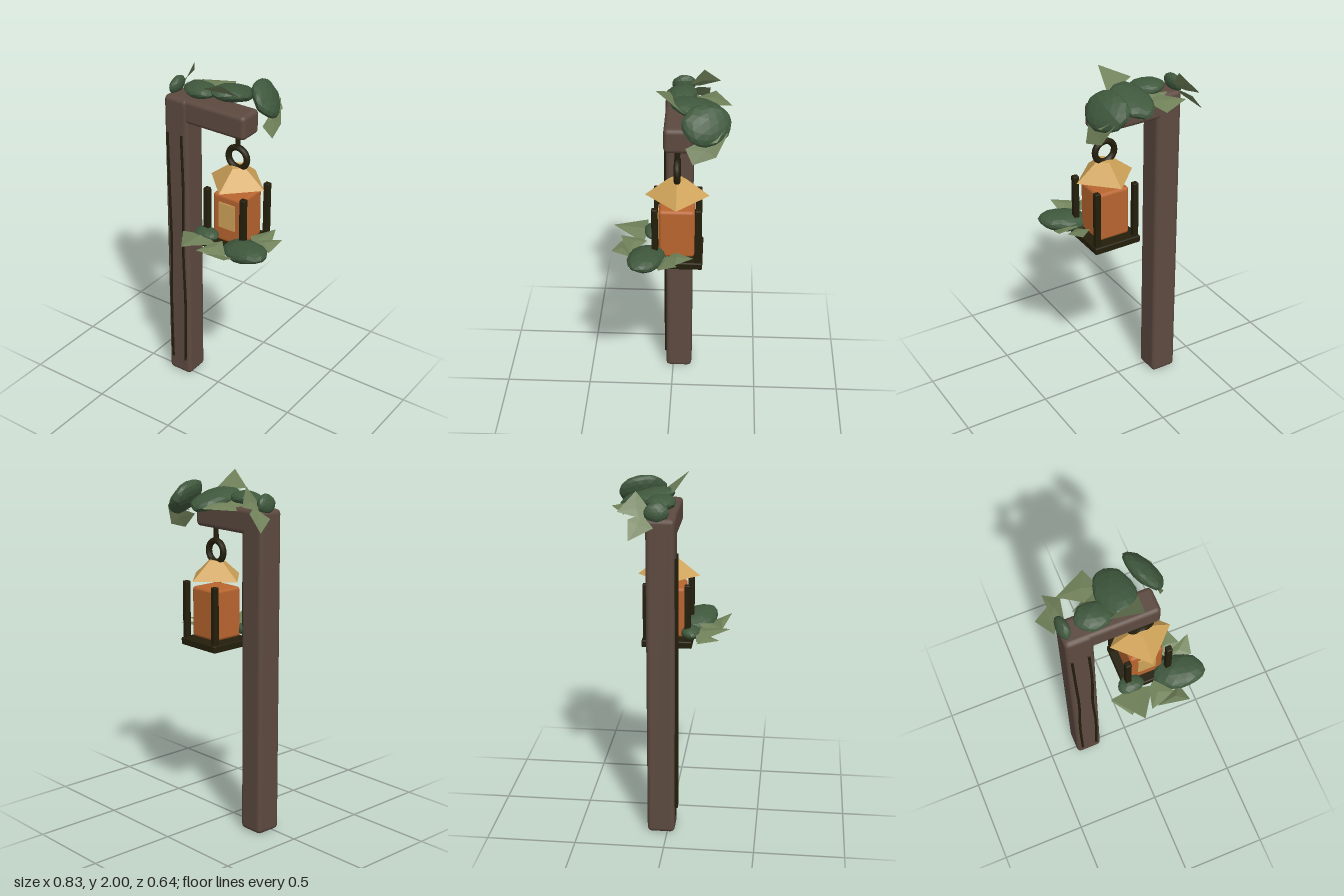
import * as THREE from 'three';
import { RoundedBoxGeometry } from 'three/addons/geometries/RoundedBoxGeometry.js';

const paint = (name, color, extra = {}) => {
  const m = new THREE.MeshStandardMaterial({ color, ...extra });
  m.name = name;
  return m;
};

export function createModel() {
  const model = new THREE.Group();
  model.name = 'hangingLanternPost';
  const wood = paint('wood', 0x5d4a40);
  const iron = paint('iron', 0x241f0c);
  const brass = paint('brass', 0xcfa359, { flatShading: true });
  const glass = paint('amberGlass', 0xb9652f);
  const foliage = paint('darkFoliage', 0x3f583d, { flatShading: true });
  const leafGreen = paint('lightLeaf', 0x71825a, { flatShading: true, side: THREE.DoubleSide });

  const add = (name, geometry, material, x = 0, y = 0, z = 0, parent = model) => {
    const mesh = new THREE.Mesh(geometry, material);
    mesh.name = name;
    mesh.position.set(x, y, z);
    parent.add(mesh);
    return mesh;
  };
  const box = (name, w, h, d, r, material, x, y, z, parent) =>
    add(name, new RoundedBoxGeometry(w, h, d, 2, r), material, x, y, z, parent);

  // Wooden post and arm
  box('post', 0.155, 1.83, 0.155, 0.025, wood, -0.258, 0.915, -0.035);
  box('arm', 0.525, 0.14, 0.15, 0.025, wood, -0.0725, 1.762, -0.038);

  // Thin dark grooves running up the front of the post
  const grooves = [
    [[-0.303, 0.1], [-0.306, 0.5], [-0.297, 0.9], [-0.303, 1.25], [-0.31, 1.62]],
    [[-0.212, 0.1], [-0.205, 0.5], [-0.215, 0.9], [-0.208, 1.25], [-0.216, 1.62]],
  ];
  grooves.forEach((path) => {
    const curve = new THREE.CatmullRomCurve3(path.map(([x, y]) => new THREE.Vector3(x, y, 0.044)));
    add('postGroove', new THREE.TubeGeometry(curve, 20, 0.008, 6), iron);
  });

  // Lantern, built around its own vertical axis
  const lantern = new THREE.Group();
  lantern.name = 'lantern';
  lantern.position.set(0.105, 0, -0.035);
  model.add(lantern);
  add('hangingRod', new THREE.CylinderGeometry(0.015, 0.015, 0.1, 10), iron, 0, 1.655, 0, lantern);
  add('hangingRing', new THREE.TorusGeometry(0.06, 0.018, 8, 20), iron, 0, 1.55, 0, lantern);
  add('roof', new THREE.CylinderGeometry(0.05, 0.175, 0.1, 4), brass, 0, 1.45, 0, lantern);
  box('glassBody', 0.195, 0.29, 0.195, 0.018, glass, 0, 1.205, 0, lantern);
  add('windowPane', new THREE.BoxGeometry(0.105, 0.155, 0.009), brass, 0, 1.228, 0.1, lantern);
  box('base', 0.285, 0.042, 0.285, 0.008, iron, 0, 1.031, 0, lantern);
  for (const sx of [-1, 1]) {
    for (const sz of [-1, 1]) {
      box('cornerBar', 0.034, 0.34, 0.034, 0.006, iron, sx * 0.119, 1.21, sz * 0.117, lantern);
    }
  }

  // Faceted foliage clumps: position, half sizes, rotation
  const clump = (position, size, rotation = [0, 0, 0]) => {
    const geometry = new THREE.IcosahedronGeometry(1, 2);
    const p = geometry.attributes.position;
    for (let i = 0; i < p.count; i++) {
      const [x, y, z] = [p.getX(i), p.getY(i), p.getZ(i)];
      const k = 1 + 0.05 * Math.sin(5 * x + 3 * y) * Math.cos(4 * z + 2 * x);
      p.setXYZ(i, x * k * size[0], y * k * size[1], z * k * size[2]);
    }
    geometry.computeVertexNormals();
    add('foliageClump', geometry, foliage, ...position).rotation.set(...rotation);
  };
  clump([0, 1.865, -0.14], [0.107, 0.045, 0.155], [-0.25, 0, 0]);
  clump([-0.15, 1.877, -0.05], [0.1, 0.04, 0.08], [0, -0.2, 0]);
  clump([0.18, 1.862, -0.19], [0.11, 0.05, 0.135], [0, 0.35, -0.98]);
  clump([-0.312, 1.865, -0.055], [0.032, 0.052, 0.066], [0, 0.12, -0.25]);
  clump([0.272, 1.095, 0.128], [0.145, 0.05, 0.1], [0, -0.25, 0.12]);
  clump([-0.005, 1.1, 0.1], [0.075, 0.035, 0.055]);

  // Pointed leaves: outline corners, folded around a slightly raised middle
  const leaf = (corners, lift = 0.012) => {
    const mid = [0, 1, 2].map((k) => corners.reduce((s, c) => s + c[k], 0) / corners.length);
    mid[1] += lift;
    const points = [];
    corners.forEach((c, i) => points.push(...mid, ...c, ...corners[(i + 1) % corners.length]));
    const geometry = new THREE.BufferGeometry();
    geometry.setAttribute('position', new THREE.Float32BufferAttribute(points, 3));
    geometry.computeVertexNormals();
    add('leaf', geometry, leafGreen);
  };

  // Leaves on the arm
  leaf([[-0.28, 1.84, -0.23], [-0.1, 1.84, -0.32], [-0.06, 1.86, -0.19], [-0.16, 1.86, -0.14]]);
  leaf([[-0.235, 1.85, -0.12], [-0.1, 1.83, -0.2], [-0.08, 1.87, -0.09]]);
  leaf([[-0.09, 1.92, 0.015], [0.075, 2.0, 0.08], [0.1, 1.88, -0.07]], 0);
  leaf([[0.2, 1.83, -0.3], [0.245, 1.71, -0.24], [0.268, 1.675, -0.12], [0.23, 1.75, -0.08]], 0);
  leaf([[0.2, 1.85, -0.28], [0.25, 1.8, -0.245], [0.25, 1.77, -0.1]], 0);

  // Leaves on top of the post
  leaf([[-0.345, 1.87, -0.255], [-0.275, 1.965, -0.165], [-0.29, 1.86, -0.08], [-0.34, 1.84, -0.14]], 0);
  leaf([[-0.415, 1.735, -0.19], [-0.34, 1.83, -0.2], [-0.3, 1.85, -0.13], [-0.355, 1.79, -0.065]], 0);

  // Leaves around the lantern base
  leaf([[-0.14, 1.09, 0.14], [-0.01, 1.13, 0.325], [0.105, 1.09, 0.15], [-0.01, 1.11, 0.13]], 0.01);
  leaf([[-0.14, 1.08, 0.145], [-0.06, 1.075, 0.265], [0.04, 1.08, 0.16]]);
  leaf([[0.05, 1.1, 0.28], [0.215, 1.08, 0.23], [0.12, 1.11, 0.13], [0.08, 1.1, 0.16]]);
  leaf([[0.085, 1.09, 0.27], [0.26, 1.13, 0.315], [0.245, 1.08, 0.2]]);
  leaf([[0.4, 1.13, -0.045], [0.38, 1.09, 0.06], [0.25, 1.09, 0.05], [0.25, 1.1, 0.01]]);
  leaf([[0.3, 1.12, -0.13], [0.34, 1.1, -0.03], [0.25, 1.08, 0.03], [0.2, 1.09, -0.03]]);

  return model;
}
